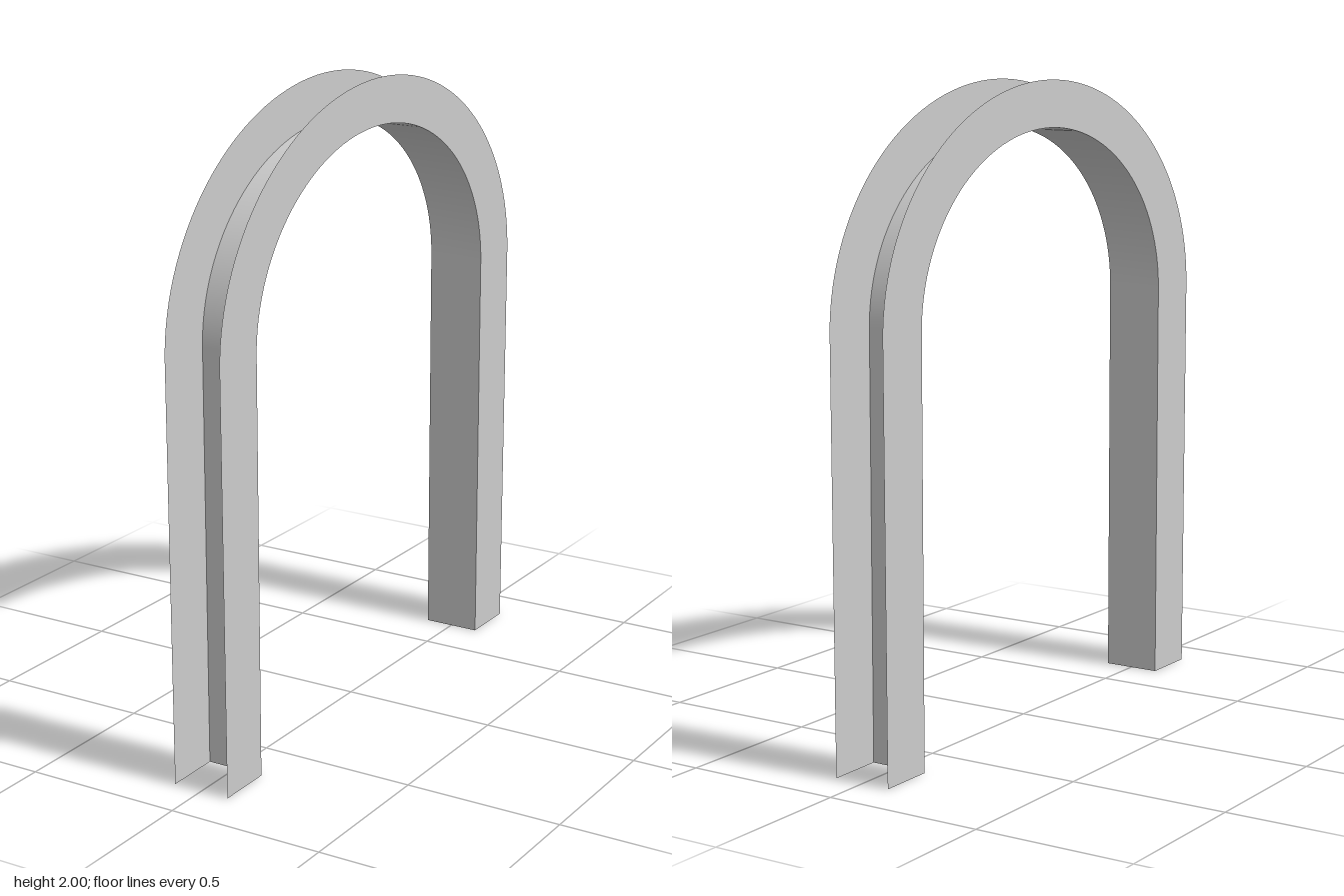
import * as THREE from 'three';

const HALF_WIDTH = 0.093;
const SPRING = 1.3; // height where the legs turn into the arch

// Elliptical arch on two straight legs, as (z, y) points from foot to foot
function archLine(foot, radius, top, segments = 64) {
  const points = [new THREE.Vector2(foot, 0)];
  for (let i = 0; i <= segments; i++) {
    const a = (i / segments) * Math.PI;
    points.push(new THREE.Vector2(radius * Math.cos(a), SPRING + (top - SPRING) * Math.sin(a)));
  }
  points.push(new THREE.Vector2(-foot, 0));
  return points;
}

// Open sheet that carries a (z, y) line across the width
function sheetAlong(line) {
  const positions = [];
  const index = [];
  line.forEach((p, i) => {
    positions.push(-HALF_WIDTH, p.y, p.x, HALF_WIDTH, p.y, p.x);
    if (i > 0) {
      const a = 2 * (i - 1);
      index.push(a, a + 1, a + 3, a, a + 3, a + 2);
    }
  });
  const geometry = new THREE.BufferGeometry();
  geometry.setAttribute('position', new THREE.Float32BufferAttribute(positions, 3));
  geometry.setIndex(index);
  geometry.computeVertexNormals();
  return geometry;
}

export function createModel() {
  const group = new THREE.Group();
  group.name = 'archChannel';
  const material = new THREE.MeshStandardMaterial({ color: 0xcccccc, side: THREE.DoubleSide });

  const inner = archLine(0.67, 0.67, 1.855);
  const outer = archLine(0.852, 0.857, 2);

  // Inner web, open towards the outside of the arch
  const web = new THREE.Mesh(sheetAlong(inner), material);
  web.name = 'innerWeb';
  group.add(web);

  // Flat flanges on both sides
  const flangeShape = new THREE.Shape([...outer, ...inner.slice().reverse()]);
  for (const side of [-1, 1]) {
    const geometry = new THREE.ShapeGeometry(flangeShape).rotateY(side * Math.PI / 2);
    const flange = new THREE.Mesh(geometry, material);
    flange.position.x = side * HALF_WIDTH;
    flange.name = side > 0 ? 'leftFlange' : 'rightFlange';
    group.add(flange);
  }
  return group;
}
